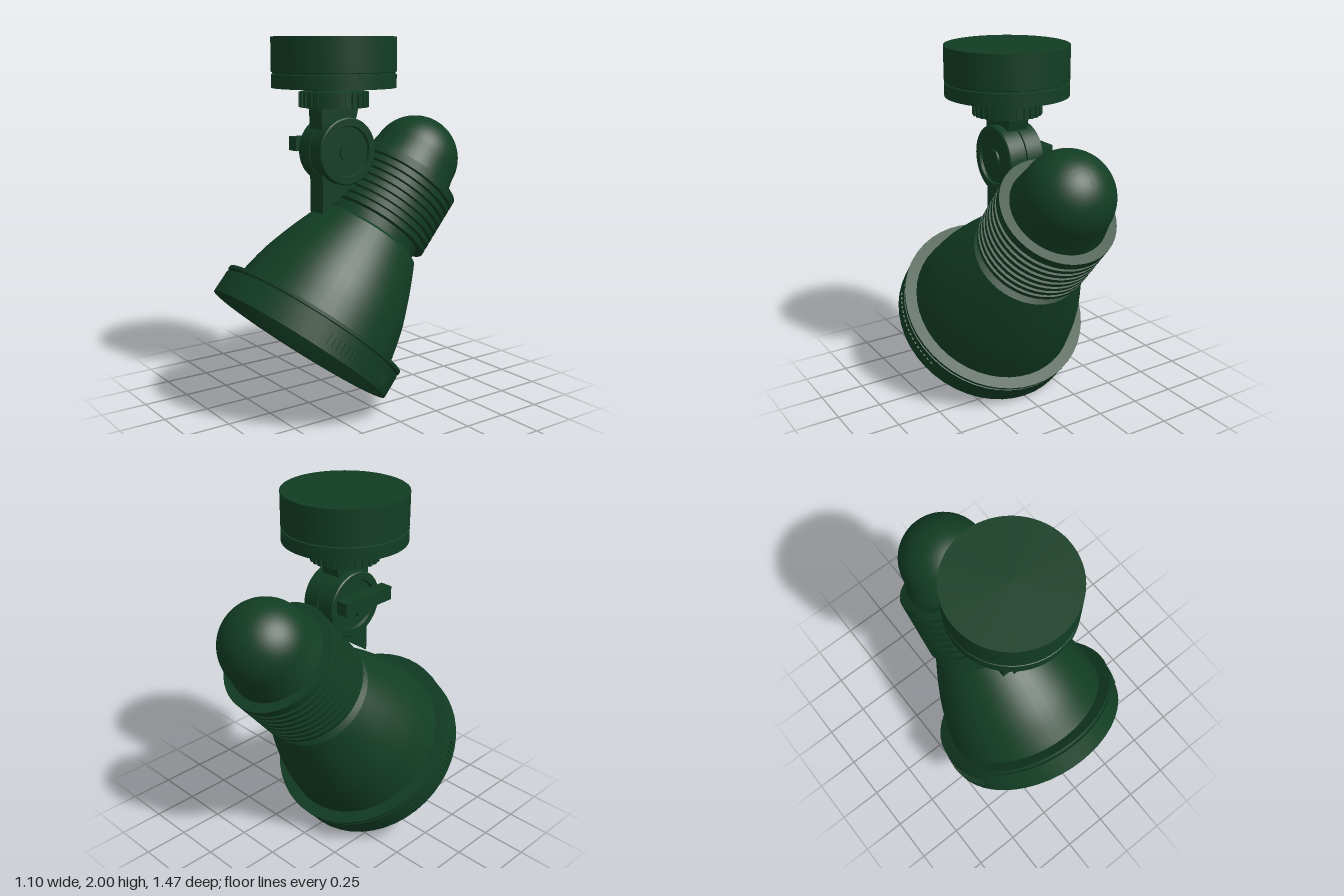
import * as THREE from 'three';
import { toCreasedNormals } from 'three/addons/utils/BufferGeometryUtils.js';

const green = new THREE.MeshStandardMaterial({ color: 0x123d24 });
const black = new THREE.MeshStandardMaterial({ color: 0x0c0c0c });

function add(parent, name, geometry, material = green) {
  const mesh = new THREE.Mesh(geometry, material);
  mesh.name = name;
  parent.add(mesh);
  return mesh;
}

// Turned part from [radius, height] pairs
function turned(pairs, segments = 48) {
  const points = pairs.map(([r, y]) => new THREE.Vector2(r, y));
  return toCreasedNormals(new THREE.LatheGeometry(points, segments), 0.5);
}

// Side outline in [z, y] pairs, extruded across x
function plate(pairs, width) {
  const shape = new THREE.Shape(pairs.map(([z, y]) => new THREE.Vector2(z, y)));
  const g = new THREE.ExtrudeGeometry(shape, { depth: width, bevelEnabled: false });
  return g.translate(0, 0, -width / 2).rotateY(-Math.PI / 2);
}

// Ring of small upright bars around the y axis
function ribs(parent, name, angles, radius, y, size) {
  for (const a of angles) {
    const rib = add(parent, name, new THREE.BoxGeometry(...size));
    rib.position.set(Math.cos(a) * radius, y, -Math.sin(a) * radius);
    rib.rotation.y = a;
  }
}

function createHead() {
  const head = new THREE.Group();
  head.name = 'lampHead';

  // Front ring with bevelled opening, groove and rear lip
  add(head, 'frontRing', turned([
    [0.43, 0.105], [0.465, 0.05], [0.515, 0], [0.545, 0], [0.545, 0.127], [0.505, 0.127],
    [0.505, 0.143], [0.547, 0.143], [0.547, 0.16], [0.47, 0.16],
  ]));

  // Flared shade, ending in the neck
  const flare = new THREE.SplineCurve([
    [0.48, 0.16], [0.445, 0.34], [0.395, 0.5], [0.35, 0.62], [0.312, 0.712],
  ].map(([r, y]) => new THREE.Vector2(r, y))).getPoints(16).map((p) => [p.x, p.y]);
  add(head, 'shade', turned([...flare, [0.28, 0.73], [0.28, 0.8]]));

  // Dark hollow inside
  add(head, 'hollow', turned([
    [0, 0.7], [0.27, 0.7], [0.34, 0.56], [0.39, 0.4], [0.42, 0.24], [0.43, 0.105],
  ]), black);

  // Cooling fins, the last one thicker
  const fins = [[0.28, 0.785]];
  for (let i = 0; i < 8; i++) {
    const y = 0.788 + i * 0.044;
    const top = y + (i === 7 ? 0.046 : 0.024);
    fins.push([0.288, y], [0.322, y], [0.322, top], [0.288, top]);
  }
  fins.push([0.26, 1.142]);
  add(head, 'coolingFins', turned(fins));

  // Domed rear cap
  const dome = [[0.27, 1.13], [0.262, 1.18]];
  for (let i = 0; i <= 16; i++) {
    const a = (i / 16) * Math.PI / 2;
    dome.push([0.248 * Math.cos(a), 1.25 + 0.25 * Math.sin(a)]);
  }
  add(head, 'rearDome', turned(dome));

  // Grip ribs on both sides of the front ring
  const angles = [];
  for (let i = -8; i <= 8; i++) angles.push(i * 0.053, Math.PI + i * 0.053);
  ribs(head, 'gripRib', angles, 0.545, 0.06, [0.014, 0.055, 0.014]);

  head.position.set(0, 0.352, 0.312);
  head.rotation.x = -0.695;
  return head;
}

function createMount() {
  const mount = new THREE.Group();
  mount.name = 'ceilingMount';
  mount.position.z = 0.074;

  // Ceiling canopy with a fine groove
  add(mount, 'canopy', turned([
    [0, 1.735], [0.333, 1.735], [0.333, 1.805], [0.325, 1.808], [0.325, 1.816],
    [0.333, 1.819], [0.333, 2], [0, 2],
  ], 64));

  // Swivel collar with ribs
  add(mount, 'collar', turned([
    [0, 1.632], [0.178, 1.632], [0.178, 1.715], [0.155, 1.72], [0.155, 1.74],
  ]));
  const angles = Array.from({ length: 28 }, (_, i) => (i / 28) * Math.PI * 2);
  ribs(mount, 'collarRib', angles, 0.178, 1.673, [0.018, 0.08, 0.022]);
  return mount;
}

function createJoint() {
  const joint = new THREE.Group();
  joint.name = 'tiltJoint';

  // Upper stem and lower arm
  add(joint, 'upperStem', plate(
    [[0.196, 1.64], [0.18, 1.42], [-0.02, 1.42], [-0.022, 1.54], [-0.048, 1.64]], 0.12));
  add(joint, 'lowerArm', plate(
    [[0.19, 1.4], [0.187, 1.07], [0.01, 1.195], [-0.06, 1.16], [-0.12, 1.25], [-0.08, 1.38]], 0.12));

  // Mirrored pivot discs with recessed faces and centre bosses
  for (const side of [-1, 1]) {
    const disc = add(joint, 'pivotDisc', turned([
      [0, 0.004], [0.18, 0.004], [0.18, 0.1], [0.174, 0.106], [0.138, 0.106],
      [0.132, 0.092], [0.05, 0.092], [0.05, 0.104], [0, 0.104],
    ]));
    disc.position.set(0, 1.4, 0.053);
    disc.rotation.z = -side * Math.PI / 2;
  }

  // Locking lever on one side
  const lever = add(joint, 'lockingLever', new THREE.BoxGeometry(0.07, 0.075, 0.34));
  lever.position.set(-0.145, 1.433, 0.075);
  const hub = add(joint, 'leverHub', new THREE.CylinderGeometry(0.05, 0.05, 0.08, 32));
  hub.position.set(-0.125, 1.4, 0.053);
  hub.rotation.z = Math.PI / 2;
  return joint;
}

export function createModel() {
  const model = new THREE.Group();
  model.name = 'spotlight';
  model.add(createHead(), createMount(), createJoint());
  return model;
}
